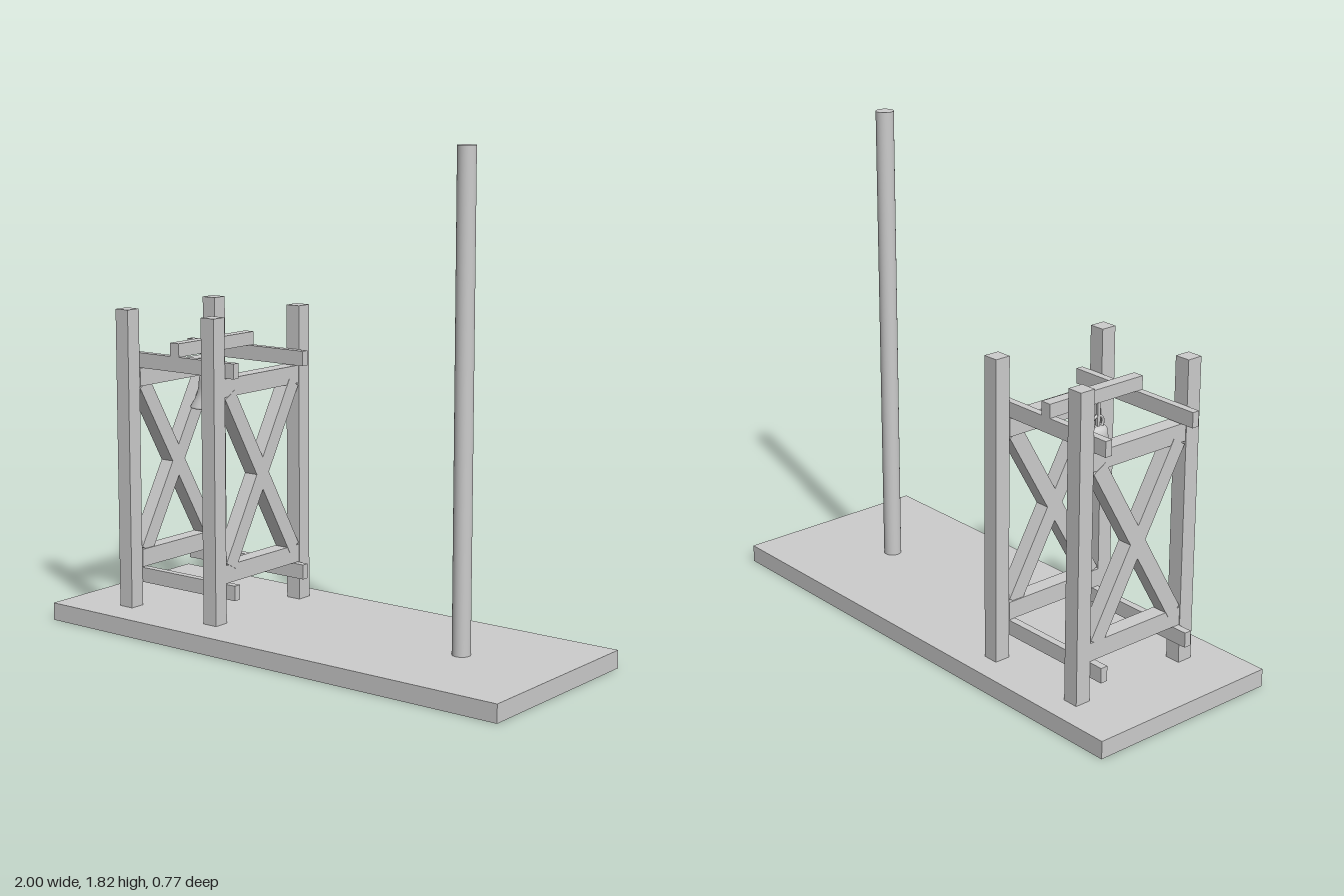
import * as THREE from 'three';

export function createModel() {
  const model = new THREE.Group();
  const mat = new THREE.MeshStandardMaterial({ color: 0xcccccc });
  const open = new THREE.MeshStandardMaterial({ color: 0xcccccc, side: THREE.DoubleSide });

  const add = (name, geo, x, y, z, parent = model, material = mat) => {
    const m = new THREE.Mesh(geo, material);
    m.name = name;
    m.position.set(x, y, z);
    parent.add(m);
    return m;
  };
  // Box given by its minimum and maximum corners
  const box = (name, [x0, y0, z0], [x1, y1, z1], parent) =>
    add(name, new THREE.BoxGeometry(x1 - x0, y1 - y0, z1 - z0),
      (x0 + x1) / 2, (y0 + y1) / 2, (z0 + z1) / 2, parent);

  // Ground slab and tall pole
  box('base', [-1, 0, -0.383], [1, 0.066, 0.383]);
  add('pole', new THREE.CylinderGeometry(0.033, 0.033, 1.755, 32), 0.6, 0.9425, 0);

  // Timber tower
  const tower = new THREE.Group();
  tower.name = 'tower';
  model.add(tower);
  const midZ = -0.0175;
  for (const x of [-0.745, -0.33]) {
    const side = x < -0.5 ? 1 : -1;
    for (const z of [-0.26, 0.225])
      box('post', [x - 0.03, 0.066, z - 0.03], [x + 0.03, 1.19, z + 0.03], tower);
    // Rails between the front and back posts, set slightly inwards
    const rx = x + side * 0.003;
    for (const y of [0.213, 0.9])
      box('sideRail', [rx - 0.03, y, -0.23], [rx + 0.03, y + 0.067, 0.195], tower);
    // Crossed braces
    for (const s of [-1, 1]) {
      const brace = add('brace', new THREE.BoxGeometry(0.057, 0.73, 0.06), x, 0.59, midZ, tower);
      brace.rotation.x = s * Math.PI / 6;
    }
  }
  // Long beams inside the front and back posts
  for (const y of [0.155, 0.97])
    for (const z of [-0.23, 0.167])
      box('crossBeam', [-0.83, y, z], [-0.26, y + 0.056, z + 0.028], tower);
  box('bellBeam', [-0.562, 1.026, -0.23], [-0.52, 1.076, 0.195], tower);

  // Bell with thick wall, hanging from the top beam
  const bell = new THREE.Group();
  bell.name = 'bell';
  bell.position.set(-0.54, 0, -0.01);
  model.add(bell);
  const profile = [
    [0.001, 0.925], [0.035, 0.92], [0.04, 0.89], [0.046, 0.865], [0.06, 0.835], [0.073, 0.814],
    [0.081, 0.814], [0.08, 0.82], [0.066, 0.843], [0.056, 0.866], [0.051, 0.89], [0.049, 0.913],
    [0.047, 0.928], [0.04, 0.938], [0.025, 0.944], [0.001, 0.946],
  ].map(([r, y]) => new THREE.Vector2(r, y));
  add('bellBody', new THREE.LatheGeometry(profile, 40), 0, 0, 0, bell, open);

  // Crown loops and hanger
  for (const x of [-0.02, 0.02]) {
    const loop = add('crownLoop', new THREE.TorusGeometry(0.024, 0.005, 8, 24), x, 0.957, 0, bell);
    loop.rotation.y = Math.PI / 2;
    add('hangerStrap', new THREE.BoxGeometry(0.01, 0.09, 0.012), x, 0.983, 0, bell);
  }
  add('hangerBlock', new THREE.CylinderGeometry(0.009, 0.011, 0.09, 16), 0, 0.983, 0, bell);

  // Clapper
  const clapper = [
    [0.001, 0.768], [0.005, 0.77], [0.006, 0.785], [0.012, 0.796], [0.013, 0.806],
    [0.008, 0.818], [0.004, 0.83], [0.004, 0.93],
  ].map(([r, y]) => new THREE.Vector2(r, y));
  add('clapper', new THREE.LatheGeometry(clapper, 20), 0, 0, 0, bell, open);

  return model;
}
